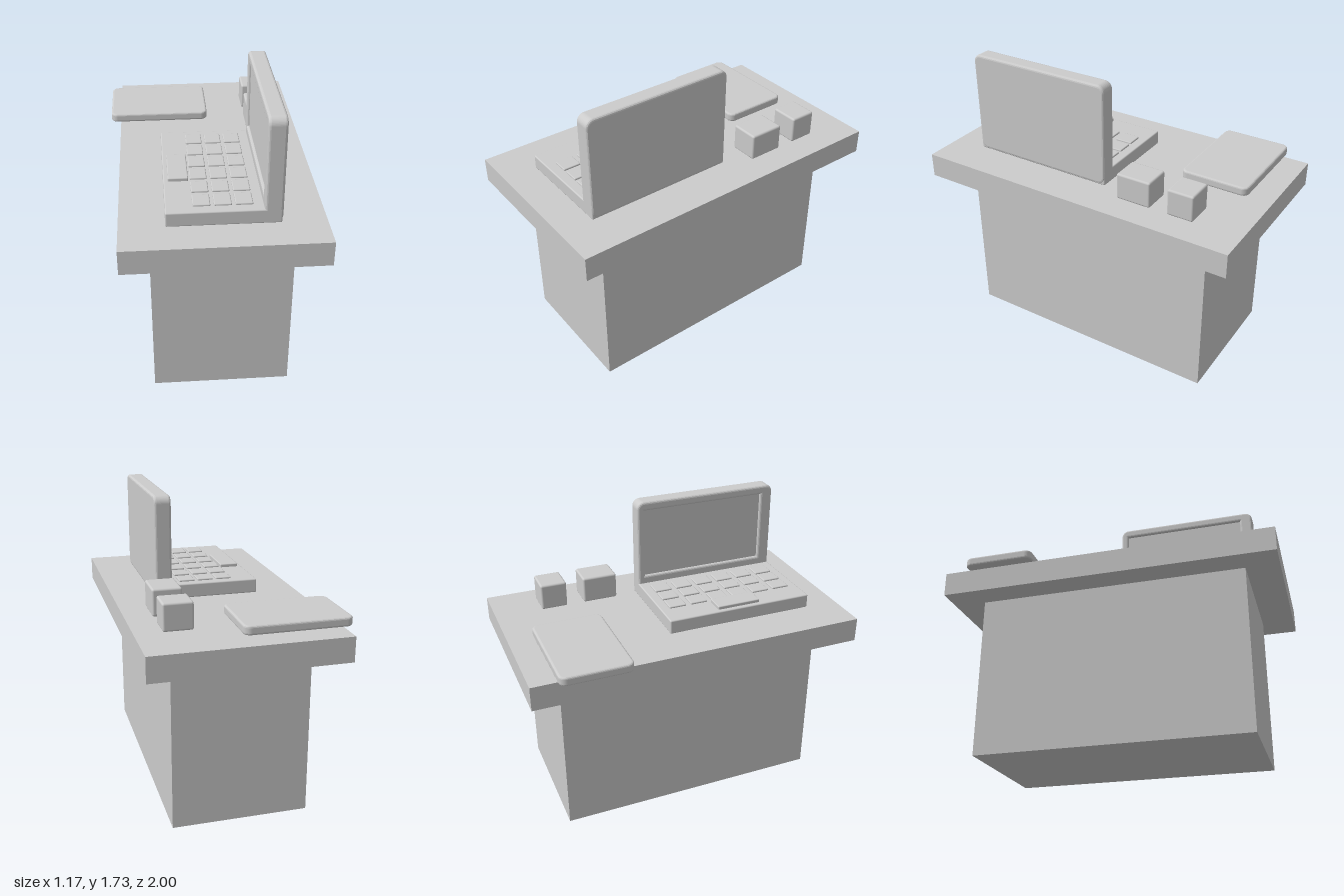
import * as THREE from 'three';
import { RoundedBoxGeometry } from 'three/addons/geometries/RoundedBoxGeometry.js';

const material = new THREE.MeshStandardMaterial({ color: 0xcccccc });

function addMesh(parent, name, geometry) {
  const mesh = new THREE.Mesh(geometry, material);
  mesh.name = name;
  parent.add(mesh);
  return mesh;
}

// Box given by its extents on each axis, with an optional softened edge
function addBox(parent, name, [x0, x1], [y0, y1], [z0, z1], radius = 0) {
  const size = [x1 - x0, y1 - y0, z1 - z0];
  const geometry = radius
    ? new RoundedBoxGeometry(...size, 3, radius)
    : new THREE.BoxGeometry(...size);
  const mesh = addMesh(parent, name, geometry);
  mesh.position.set((x0 + x1) / 2, (y0 + y1) / 2, (z0 + z1) / 2);
  return mesh;
}

function roundedRect(w, h, r) {
  const s = new THREE.Shape();
  const x = w / 2, y = h / 2;
  s.absarc(x - r, y - r, r, 0, Math.PI / 2);
  s.absarc(-x + r, y - r, r, Math.PI / 2, Math.PI);
  s.absarc(-x + r, -y + r, r, Math.PI, Math.PI * 1.5);
  s.absarc(x - r, -y + r, r, Math.PI * 1.5, Math.PI * 2);
  s.closePath();
  return s;
}

// Bevelled plate centred on its own origin, thickness along z
function plateGeometry(shape, thickness, bevel) {
  const geometry = new THREE.ExtrudeGeometry(shape, {
    depth: thickness - 2 * bevel, bevelThickness: bevel, bevelSize: bevel,
    bevelOffset: -bevel, bevelSegments: 3, curveSegments: 6,
  });
  geometry.translate(0, 0, -thickness / 2 + bevel);
  return geometry;
}

function createLaptop() {
  const laptop = new THREE.Group();
  laptop.name = 'laptop';
  addBox(laptop, 'keyboardBase', [-0.28, 0.34], [1.115, 1.2], [-0.105, 0.8], 0.008);

  // Keys in six rows of three, with the long space bar near the user
  for (let row = 0; row < 6; row++) {
    for (let col = 0; col < 3; col++) {
      const x = -0.133 + col * 0.114, z = -0.05 + row * 0.137;
      addBox(laptop, 'key', [x, x + 0.095], [1.185, 1.21], [z, z + 0.107], 0.006);
    }
  }
  addBox(laptop, 'spaceBar', [-0.255, -0.142], [1.19, 1.22], [0.21, 0.48], 0.006);

  // Lid frame with a recessed display facing -x
  const bevel = 0.014;
  const shape = roundedRect(0.905, 0.61, 0.045);
  const z0 = -0.06, z1 = 0.72, y0 = 1.25, y1 = 1.675;
  const cz = 0.3475, cy = 1.425;
  shape.holes.push(new THREE.Path([
    [z0, y0], [z0, y1], [z1, y1], [z1, y0],
  ].map(([z, y]) => new THREE.Vector2(z - cz, y - cy))));
  const lid = addMesh(laptop, 'screenFrame', plateGeometry(shape, 0.1, bevel));
  lid.rotation.y = -Math.PI / 2;
  lid.position.set(0.295, cy, cz);
  addBox(laptop, 'display', [0.261, 0.345], [y0 - bevel, y1 + bevel], [z0 - bevel, z1 + bevel]);
  return laptop;
}

export function createModel() {
  const model = new THREE.Group();
  model.name = 'deskWithLaptop';

  // Desk
  addBox(model, 'deskBase', [-0.37, 0.42], [0, 0.97], [-0.805, 0.805]);
  addBox(model, 'deskTop', [-0.53, 0.585], [0.97, 1.115], [-1, 1]);

  model.add(createLaptop());

  // Tablet overhanging the desk edge
  const tablet = addMesh(model, 'tablet', plateGeometry(roundedRect(0.62, 0.42, 0.04), 0.054, 0.012));
  tablet.rotation.x = -Math.PI / 2;
  tablet.position.set(-0.28, 1.142, -0.64);

  // Small blocks beside the tablet
  addBox(model, 'smallBlock', [0.268, 0.438], [1.13, 1.287], [-0.722, -0.563], 0.012);
  addBox(model, 'largeBlock', [0.268, 0.438], [1.13, 1.287], [-0.457, -0.245], 0.012);

  return model;
}
